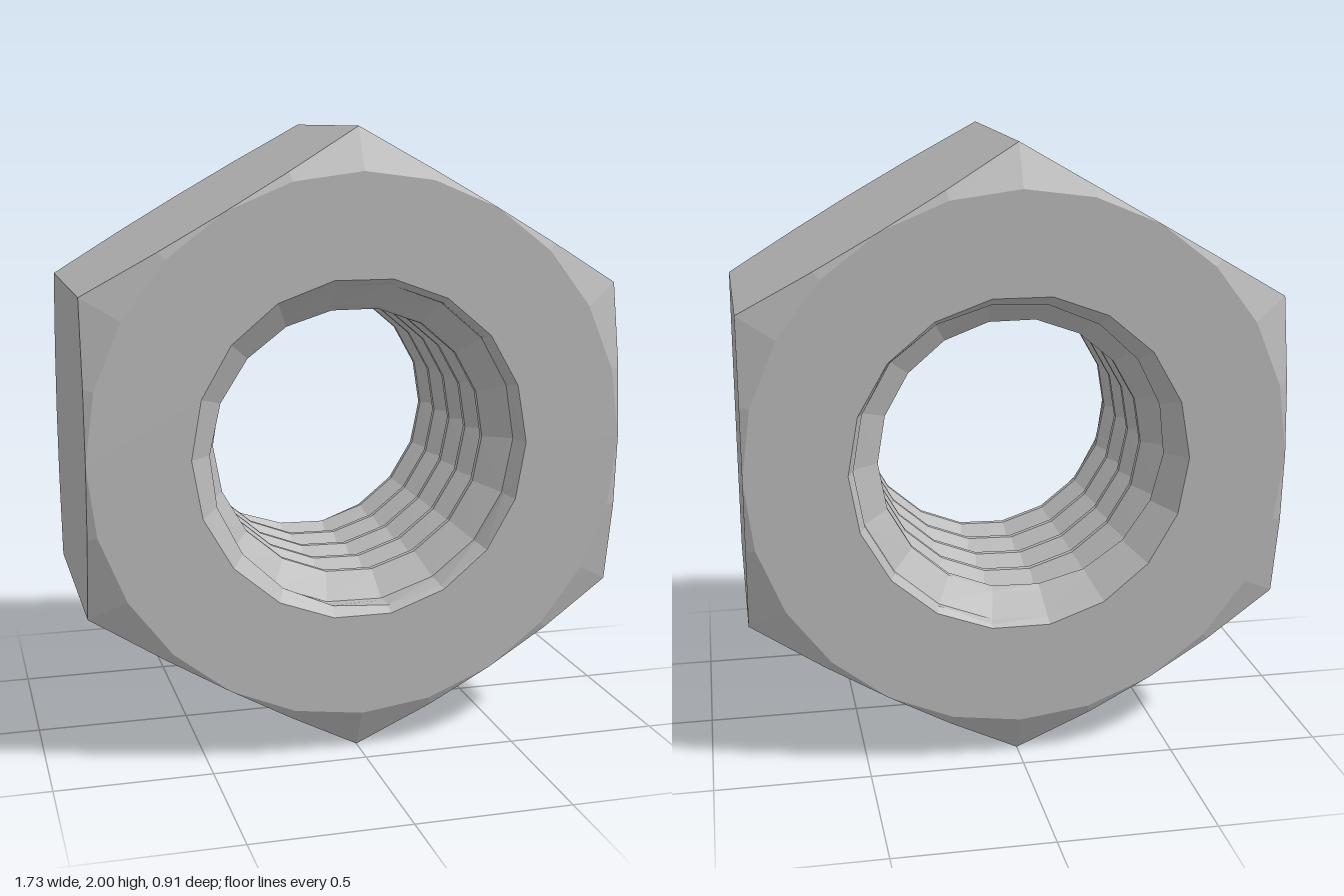
import * as THREE from 'three';

const HALF = 0.455;        // half thickness
const APOTHEM = 0.866;     // centre to flat
const OPENING = 0.545;     // countersink radius at the faces
const CREST = 0.44, ROOT = 0.525, PITCH = 0.16;
const OUTER_SEGS = 24, BORE_SEGS = 18;

const polar = (r, a, z) => [r * Math.cos(a), r * Math.sin(a), z];

// Skin a surface between successive columns of points; column(angle) returns a list of [x, y, z]
function loft(segments, column) {
  const pos = [], index = [];
  let rows = 0;
  for (let j = 0; j <= segments; j++) {
    const pts = column((j / segments) * Math.PI * 2);
    rows = pts.length;
    pts.forEach(p => pos.push(...p));
  }
  for (let j = 0; j < segments; j++) {
    for (let i = 0; i < rows - 1; i++) {
      const a = j * rows + i, b = a + 1, c = a + rows, d = c + 1;
      index.push(a, b, c, b, d, c);
    }
  }
  const g = new THREE.BufferGeometry();
  g.setAttribute('position', new THREE.Float32BufferAttribute(pos, 3));
  g.setIndex(index);
  const flat = g.toNonIndexed();
  flat.computeVertexNormals();
  return flat;
}

// Hexagon radius at an angle, with corners at top and bottom
function hexRadius(a) {
  const step = Math.PI / 3;
  return APOTHEM / Math.cos(a - Math.round(a / step) * step);
}
// The corner chamfer lowers the rim as the radius grows
const rimZ = a => HALF - 0.07 * (hexRadius(a) - APOTHEM) / (1 - APOTHEM);

// Helical thread profile, widened into a countersink at both ends
function threadColumn(a) {
  const pts = [];
  const profile = [[-0.01, CREST], [0.01, CREST], [0.07, ROOT], [0.09, ROOT]];
  for (let n = -5; n <= 4; n++) {
    for (const [dz, r] of profile) {
      const raw = (n + a / (Math.PI * 2)) * PITCH + dz;
      const z = THREE.MathUtils.clamp(raw, -HALF, HALF);
      const sink = OPENING - 1.05 * (HALF - Math.abs(z));
      pts.push(polar(Math.max(r, sink), a, z));
    }
  }
  return pts;
}

const ring = (r, n) => Array.from({ length: n }, (_, i) => {
  const a = (i / n) * Math.PI * 2;
  return new THREE.Vector2(r * Math.cos(a), r * Math.sin(a));
});

export function createModel() {
  const group = new THREE.Group();
  group.name = 'hexNut';
  const steel = new THREE.MeshStandardMaterial({ color: 0xb8b8b8, flatShading: true });
  steel.name = 'steel grey';

  const add = (name, geometry) => {
    const mesh = new THREE.Mesh(geometry, steel);
    mesh.name = name;
    mesh.position.y = 1;
    group.add(mesh);
    return mesh;
  };

  // Six flats with scalloped rims
  add('hexSides', loft(OUTER_SEGS, a => [
    polar(hexRadius(a), a, rimZ(a)),
    polar(hexRadius(a), a, -rimZ(a)),
  ]));

  // Conical corner chamfers
  add('frontChamfer', loft(OUTER_SEGS, a => [
    polar(APOTHEM, a, HALF),
    polar(hexRadius(a), a, rimZ(a)),
  ]));
  add('backChamfer', loft(OUTER_SEGS, a => [
    polar(hexRadius(a), a, -rimZ(a)),
    polar(APOTHEM, a, -HALF),
  ]));

  // Flat end faces around the hole
  const face = new THREE.Shape(ring(APOTHEM, OUTER_SEGS));
  face.holes.push(new THREE.Path(ring(OPENING, BORE_SEGS)));
  const faceGeometry = new THREE.ShapeGeometry(face);
  add('frontFace', faceGeometry).position.z = HALF;
  const back = add('backFace', faceGeometry);
  back.position.z = -HALF;
  back.rotation.y = Math.PI;

  // Threaded bore
  add('threadedBore', loft(BORE_SEGS, threadColumn));

  return group;
}
